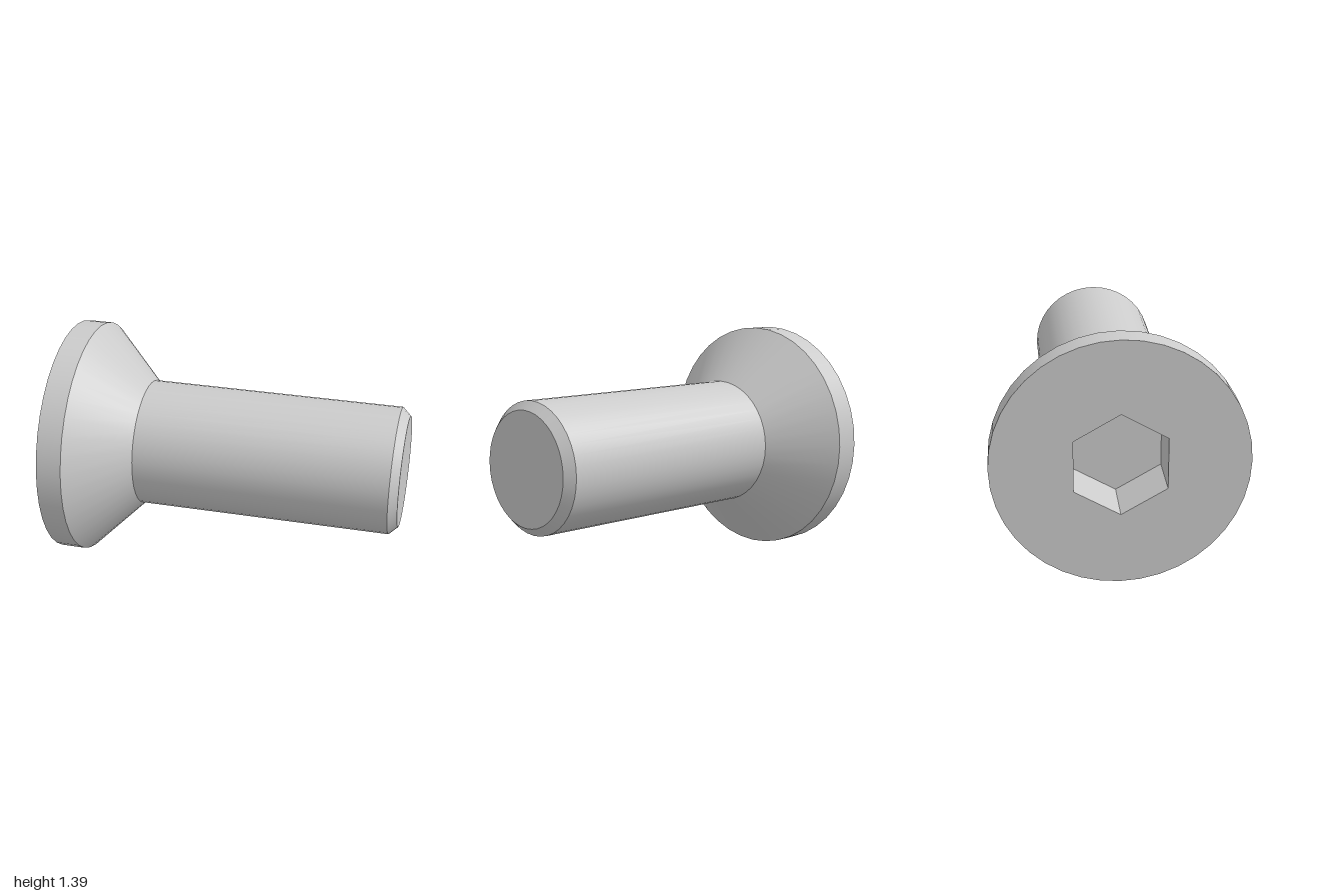
import * as THREE from 'three';

const SIDES = 40;
const AXIS_Y = 0.693;      // height of the bolt axis
const HEAD_R = 0.693, SHANK_R = 0.373, TIP_R = 0.325;
const HEX_R = 0.288, HEX_DEPTH = 0.3;

// corner points of a regular polygon, first corner pointing up
function ring(radius, sides) {
  return Array.from({ length: sides }, (_, i) => {
    const a = Math.PI / 2 + (i / sides) * Math.PI * 2;
    return new THREE.Vector2(Math.cos(a) * radius, Math.sin(a) * radius);
  });
}

export function createModel() {
  const group = new THREE.Group();
  group.name = 'countersunkBolt';
  const material = new THREE.MeshStandardMaterial({ color: 0xcccccc });

  const add = (name, geometry, x = 0) => {
    const mesh = new THREE.Mesh(geometry, material);
    mesh.name = name;
    mesh.position.set(x, AXIS_Y, 0);
    group.add(mesh);
  };

  // turned bands along x, each smooth with sharp edges between them
  const bands = [
    ['headRim', -1, HEAD_R, -0.855, HEAD_R],
    ['headCone', -0.855, HEAD_R, -0.54, SHANK_R],
    ['shank', -0.54, SHANK_R, 0.95, SHANK_R],
    ['tipChamfer', 0.95, SHANK_R, 1, TIP_R],
  ];
  for (const [name, x0, r0, x1, r1] of bands) {
    const profile = [new THREE.Vector2(r0, x0), new THREE.Vector2(r1, x1)];
    add(name, new THREE.LatheGeometry(profile, SIDES).rotateZ(-Math.PI / 2));
  }

  // flat end of the shank
  add('tipFace', new THREE.CircleGeometry(TIP_R, SIDES).rotateY(Math.PI / 2), 1);

  // head face with hexagonal opening
  const face = new THREE.Shape(ring(HEAD_R, SIDES));
  face.holes.push(new THREE.Path(ring(HEX_R, 6)));
  add('headFace', new THREE.ShapeGeometry(face).rotateY(-Math.PI / 2), -1);

  // hexagonal socket: walls mirrored to face inward, plus floor
  const walls = new THREE.CylinderGeometry(HEX_R, HEX_R, HEX_DEPTH, 6, 1, true, Math.PI / 2)
    .rotateZ(-Math.PI / 2).scale(-1, 1, 1).toNonIndexed();
  walls.computeVertexNormals();
  add('socketWalls', walls, -1 + HEX_DEPTH / 2);
  add('socketFloor', new THREE.CircleGeometry(HEX_R, 6, Math.PI / 2).rotateY(-Math.PI / 2), -1 + HEX_DEPTH);

  return group;
}
